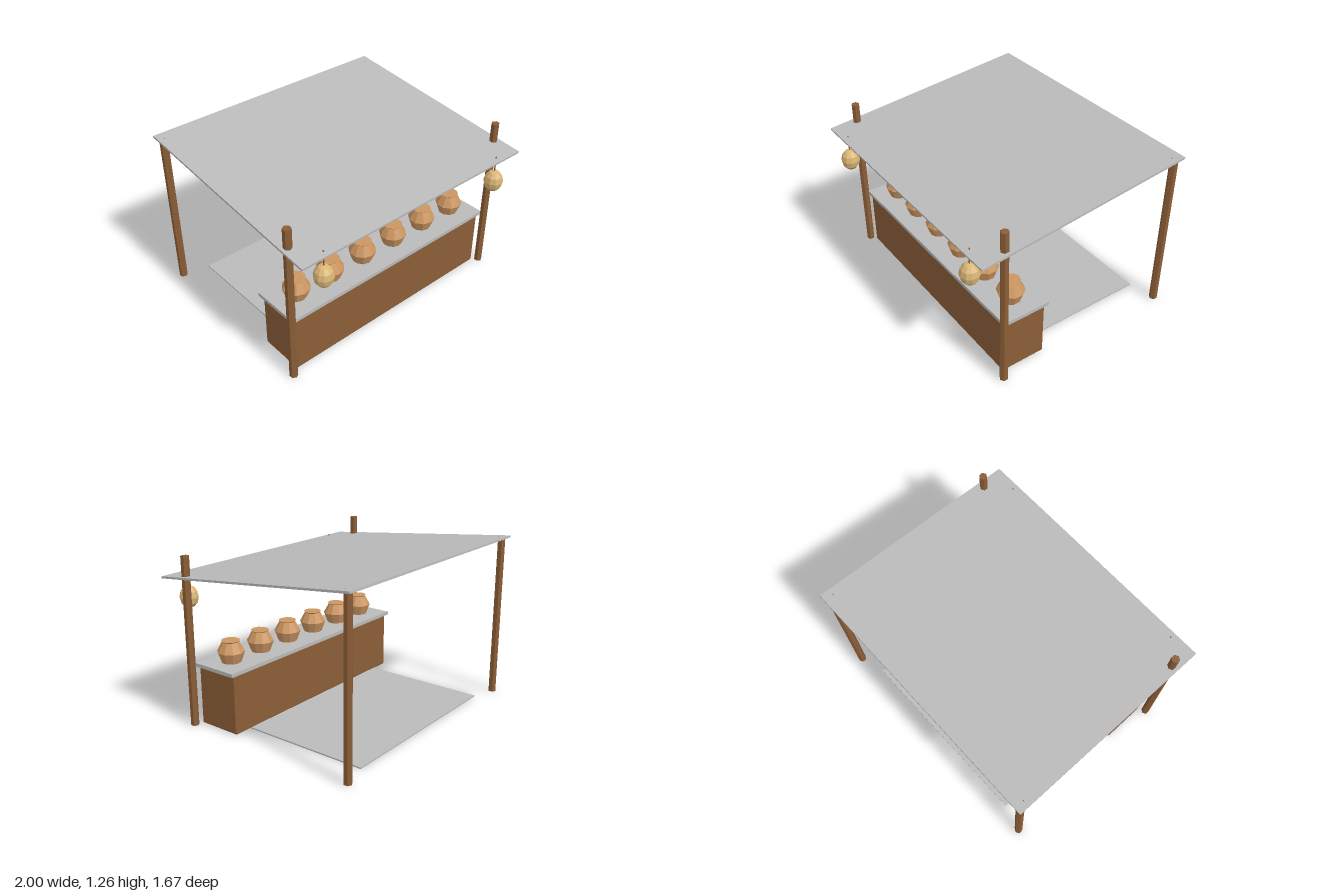
import * as THREE from 'three';
import { RoundedBoxGeometry } from 'three/addons/geometries/RoundedBoxGeometry.js';

const mat = (name, color) => {
  const m = new THREE.MeshStandardMaterial({ color, flatShading: true });
  m.name = name;
  return m;
};

export function createModel() {
  const wood = mat('brown wood', 0x8b5e37);
  const grey = mat('grey board', 0xbababa);
  const clay = mat('clay', 0xcb9560);
  const paper = mat('lantern paper', 0xd9b676);

  const group = new THREE.Group();
  const add = (name, geometry, material, x, y, z) => {
    const mesh = new THREE.Mesh(geometry, material);
    mesh.name = name;
    mesh.position.set(x, y, z);
    group.add(mesh);
    return mesh;
  };
  const lathe = (points, sides) =>
    new THREE.LatheGeometry(points.map(([r, y]) => new THREE.Vector2(r, y)), sides);

  // Sloping roof and floor mat
  add('roof', new THREE.BoxGeometry(2, 0.015, 1.655), grey, 0, 1.1675, -0.01).rotation.x = Math.PI / 30;
  add('floorMat', new THREE.BoxGeometry(1.5, 0.01, 1), grey, 0, 0.005, -0.235);

  // Counter with softened edges and its top board
  add('counterBody', new RoundedBoxGeometry(1.8, 0.445, 0.345, 1, 0.01), wood, 0, 0.2275, 0.415);
  add('counterTop', new THREE.BoxGeometry(1.86, 0.027, 0.37), grey, 0, 0.4625, 0.415);

  // Hexagonal posts, hanging cords and lanterns, mirrored
  const post = new THREE.CylinderGeometry(0.03, 0.03, 1.254, 6);
  const cord = new THREE.CylinderGeometry(0.005, 0.005, 0.13, 6);
  const rows = 6;
  const lanternProfile = Array.from({ length: rows + 1 }, (_, i) => {
    const a = (i / rows) * Math.PI;
    return [Math.abs(0.07 * Math.sin(a)), -0.083 * Math.cos(a)];
  });
  const lantern = lathe(lanternProfile, 10);
  for (const [side, s] of [['left', 1], ['right', -1]]) {
    add(side + 'FrontPost', post, wood, 0.95 * s, 0.627, 0.615);
    add(side + 'BackPost', post, wood, 0.95 * s, 0.627, -0.785);
    add(side + 'LanternCord', cord, wood, 0.8 * s, 1.037, 0.77);
    add(side + 'Lantern', lantern, paper, 0.8 * s, 0.905, 0.77);
  }

  // Row of lidded jars
  const jar = lathe([[0, 0], [0.072, 0], [0.1, 0.079], [0.06, 0.152], [0.068, 0.16], [0, 0.16]], 10);
  for (let i = 0; i < 6; i++) add('jar' + (i + 1), jar, clay, -0.75 + 0.3 * i, 0.476, 0.417);

  return group;
}
